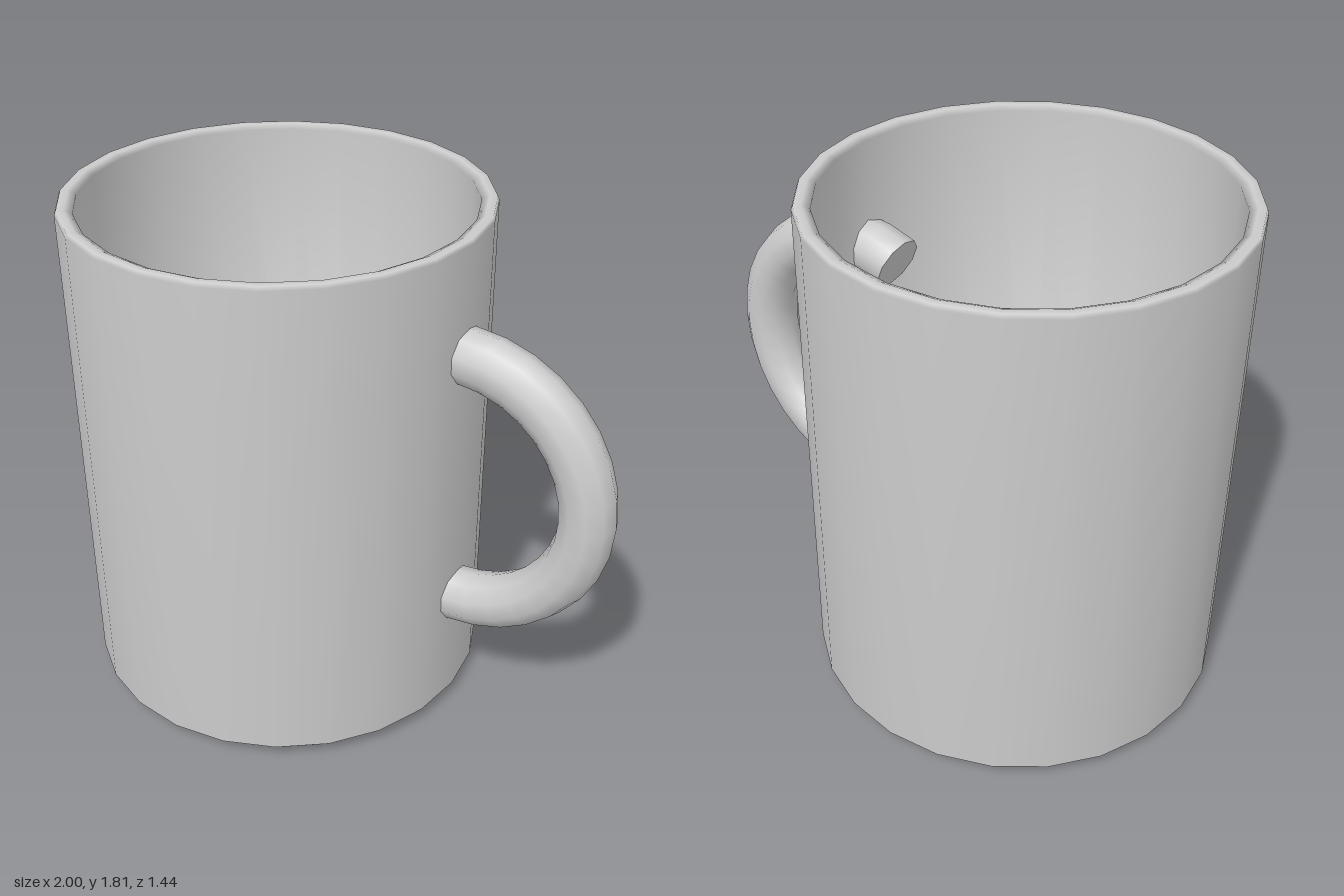
import * as THREE from 'three';

export function createModel() {
  const model = new THREE.Group();
  model.name = 'mug';
  const ceramic = new THREE.MeshStandardMaterial({ color: 0xcccccc });
  ceramic.name = 'grey ceramic';

  // Body: one smooth profile from the underside, up the wall, over the rim and down to the floor
  const profile = [
    [0, 0], [0.67, 0], [0.722, 0.05], [0.722, 1.8], [0.716, 1.813],
    [0.69, 1.813], [0.664, 1.8], [0.664, 0.06], [0, 0.06],
  ].map(([r, y]) => new THREE.Vector2(r, y));
  const body = new THREE.Mesh(new THREE.LatheGeometry(profile, 24), ceramic);
  body.name = 'body';
  body.position.x = -0.278;
  model.add(body);

  // Handle: a ring section whose ends reach through the wall
  const R = 0.473, r = 0.097, sides = 10;
  const extra = 0.367;
  const arc = Math.PI + 2 * extra;
  const start = -arc / 2;
  const handle = new THREE.Group();
  handle.name = 'handle';
  handle.position.set(0.428, 0.943, 0);
  const grip = new THREE.Mesh(new THREE.TorusGeometry(R, r, sides, 20, arc), ceramic);
  grip.name = 'grip';
  grip.rotation.z = start;
  handle.add(grip);

  // Caps closing both ends of the handle
  for (const end of [-1, 1]) {
    const pivot = new THREE.Group();
    pivot.name = end < 0 ? 'lowerEnd' : 'upperEnd';
    pivot.rotation.z = end * arc / 2;
    const cap = new THREE.Mesh(new THREE.CircleGeometry(r, sides), ceramic);
    cap.name = 'endCap';
    cap.position.x = R;
    cap.rotation.x = -end * Math.PI / 2;
    pivot.add(cap);
    handle.add(pivot);
  }
  model.add(handle);
  return model;
}
